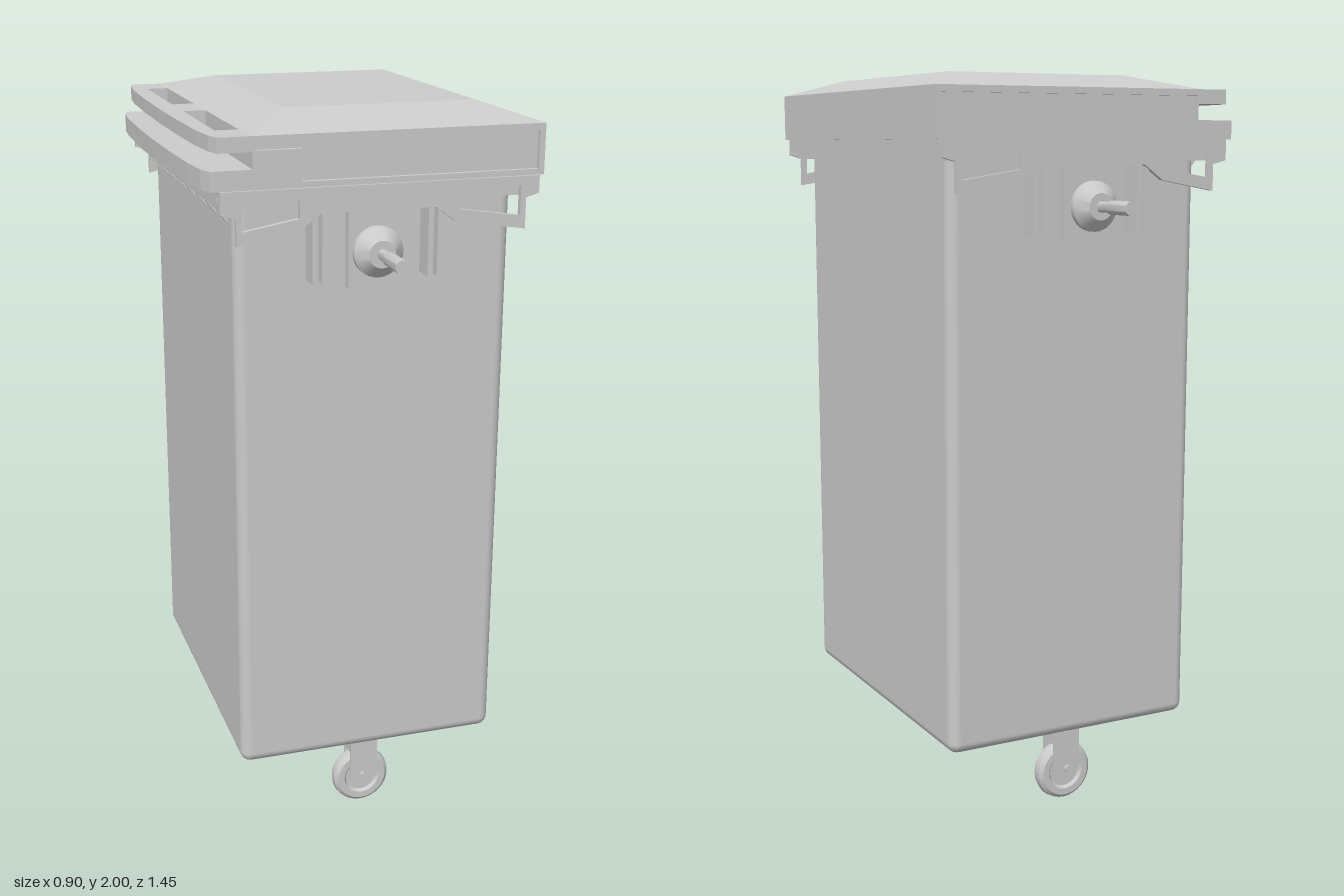
import * as THREE from 'three';
import { RoundedBoxGeometry } from 'three/addons/geometries/RoundedBoxGeometry.js';
import { toCreasedNormals } from 'three/addons/utils/BufferGeometryUtils.js';

const material = new THREE.MeshStandardMaterial({ color: 0xcccccc, side: THREE.DoubleSide });

function add(parent, name, geometry) {
  const mesh = new THREE.Mesh(geometry, material);
  mesh.name = name;
  parent.add(mesh);
  return mesh;
}

// Box given by its lower and upper limits on each axis
function box(parent, name, x0, x1, y0, y1, z0, z1) {
  const mesh = add(parent, name, new THREE.BoxGeometry(x1 - x0, y1 - y0, z1 - z0));
  mesh.position.set((x0 + x1) / 2, (y0 + y1) / 2, (z0 + z1) / 2);
  return mesh;
}

const shapeOf = pts => new THREE.Shape(pts.map(p => new THREE.Vector2(...p)));
const extrude = (shape, depth) => new THREE.ExtrudeGeometry(shape, { depth, bevelEnabled: false });

// Lathe profile [radius, distance] turned about the z axis
function latheZ(pts) {
  const g = new THREE.LatheGeometry(pts.map(p => new THREE.Vector2(...p)), 32);
  return toCreasedNormals(g.rotateX(Math.PI / 2), 0.6);
}

// Grip bar: curved outer edge, optional slots, extruded upwards
function gripBar(outer, inner, y, height, slots) {
  const pts = [[inner, -0.54], [inner, 0.54], [outer + 0.03, 0.54], [outer + 0.018, 0.5], [outer + 0.008, 0.4],
    [outer + 0.002, 0.2], [outer, 0], [outer + 0.002, -0.2], [outer + 0.008, -0.4], [outer + 0.018, -0.5], [outer + 0.03, -0.54]];
  const shape = shapeOf(pts);
  if (slots) {
    for (const s of [-1, 1]) {
      shape.holes.push(shapeOf([[-0.38, s * 0.07], [-0.32, s * 0.07], [-0.32, s * 0.425], [-0.38, s * 0.425]]));
    }
  }
  return extrude(shape, height).rotateX(-Math.PI / 2).translate(0, y, 0);
}

// Lid crown: shallow four-sided frustum made from a box with its top corners drawn in
function crownGeometry() {
  const g = new THREE.BoxGeometry(1, 1, 1);
  const p = g.attributes.position;
  for (let i = 0; i < p.count; i++) {
    const top = p.getY(i) > 0;
    const x = p.getX(i) > 0 ? (top ? 0.33 : 0.45) : (top ? -0.19 : -0.32);
    p.setXYZ(i, x, top ? 2 : 1.96, Math.sign(p.getZ(i)) * (top ? 0.36 : 0.54));
  }
  g.computeVertexNormals();
  return g;
}

// Skirt plate below the rim, with a window at each corner
function skirtGeometry() {
  const shape = shapeOf([[-0.4, 1.83], [-0.4, 1.775], [-0.36, 1.765], [-0.36, 1.695], [-0.2, 1.725], [-0.145, 1.765],
    [0.155, 1.765], [0.21, 1.725], [0.4, 1.695], [0.4, 1.775], [0.435, 1.785], [0.435, 1.83]]);
  shape.holes.push(shapeOf([[-0.345, 1.73], [-0.2, 1.755], [-0.2, 1.805], [-0.345, 1.805]]));
  shape.holes.push(shapeOf([[0.22, 1.755], [0.385, 1.73], [0.385, 1.805], [0.22, 1.805]]));
  return extrude(shape, 0.015);
}

// Pivot pin, mounting plate, ribs and skirt for one end
function endFittings() {
  const g = new THREE.Group();
  add(g, 'skirt', skirtGeometry()).position.z = 0.533;
  box(g, 'skirtTop', -0.4, 0.435, 1.815, 1.83, 0.48, 0.54);
  box(g, 'skirtLedge', -0.145, 0.155, 1.765, 1.78, 0.48, 0.54);
  box(g, 'pivotPlate', -0.06, 0.07, 1.56, 1.77, 0.475, 0.505);
  for (const x of [-0.165, -0.14, 0.14, 0.165]) {
    box(g, 'rib', x, x + 0.014, 1.585, 1.78, 0.475, 0.54);
  }
  for (const x of [-0.165, 0.14]) box(g, 'ribWeb', x, x + 0.039, 1.585, 1.78, 0.475, 0.51);
  const pin = add(g, 'pivotPin', latheZ([[0.04, 0.48], [0.04, 0.52], [0.065, 0.535], [0.065, 0.55], [0.04, 0.575],
    [0.035, 0.58], [0.014, 0.58], [0.014, 0.62], [0.018, 0.63], [0.018, 0.725], [0, 0.725]]));
  pin.position.set(0.005, 1.66, 0);
  return g;
}

// Castor wheel with fork and axle
function castor() {
  const g = new THREE.Group();
  const wheel = add(g, 'wheel', latheZ([[0, -0.014], [0.045, -0.014], [0.052, -0.022], [0.07, -0.022], [0.08, -0.013],
    [0.083, 0], [0.08, 0.013], [0.07, 0.022], [0.052, 0.022], [0.045, 0.014], [0, 0.014]]));
  wheel.position.set(0.015, 0.083, 0);
  for (const s of [-1, 1]) {
    const cheek = add(g, 'forkCheek', extrude(shapeOf([[-0.022, 0.2], [-0.022, 0.085], [0.058, 0.085], [0.058, 0.2]]), 0.006));
    cheek.position.z = s * 0.029 - 0.003;
  }
  box(g, 'forkTop', -0.022, 0.058, 0.17, 0.205, -0.032, 0.032);
  box(g, 'mount', -0.022, 0.058, 0.2, 0.22, -0.025, 0.025);
  const axle = add(g, 'axle', new THREE.CylinderGeometry(0.01, 0.01, 0.08, 12).rotateX(Math.PI / 2));
  axle.position.set(0.015, 0.095, 0);
  return g;
}

export function createModel() {
  const model = new THREE.Group();
  model.name = 'wheeledBin';

  // Body
  const body = add(model, 'body', new RoundedBoxGeometry(0.74, 1.6, 0.96, 4, 0.03));
  body.position.set(0.02, 1.01, 0);

  // Rim with a stepped edge
  const rim = new THREE.Group();
  rim.name = 'rim';
  model.add(rim);
  box(rim, 'rimLower', -0.39, 0.425, 1.775, 1.805, -0.51, 0.51);
  box(rim, 'rimUpper', -0.4, 0.435, 1.8, 1.83, -0.515, 0.515);

  // Triangular gussets under the rear of the rim
  for (let i = 0; i < 8; i++) {
    const gusset = add(rim, 'gusset', extrude(shapeOf([[-0.345, 1.78], [-0.39, 1.78], [-0.345, 1.72]]), 0.014));
    gusset.position.z = -0.427 + i * 0.12;
  }

  // Fittings and castors, mirrored front to back
  for (const turn of [1, -1]) {
    const fittings = endFittings();
    fittings.name = turn > 0 ? 'frontFittings' : 'backFittings';
    fittings.scale.z = turn;
    model.add(fittings);
    const wheel = castor();
    wheel.name = turn > 0 ? 'frontCastor' : 'backCastor';
    wheel.position.z = turn * 0.415;
    model.add(wheel);
  }

  // Lid: core, crown, and raised borders around the recessed side panels
  const lid = new THREE.Group();
  lid.name = 'lid';
  model.add(lid);
  box(lid, 'lidCore', -0.315, 0.45, 1.83, 1.96, -0.527, 0.527);
  add(lid, 'crown', crownGeometry());
  for (const s of [-1, 1]) {
    const z = [s * 0.52, s * 0.54].sort((a, b) => a - b);
    box(lid, 'upperBorder', -0.315, 0.45, 1.943, 1.96, ...z);
    box(lid, 'lowerBorder', -0.315, 0.45, 1.83, 1.845, ...z);
    box(lid, 'hingeBlock', -0.315, -0.19, 1.83, 1.925, ...z);
    box(lid, 'lidCorner', 0.435, 0.45, 1.83, 1.96, ...z);
  }

  // Rear grip bars
  add(lid, 'upperGrip', gripBar(-0.432, -0.31, 1.922, 0.038, true));
  add(model, 'lowerGrip', gripBar(-0.452, -0.31, 1.83, 0.05, false));

  return model;
}
